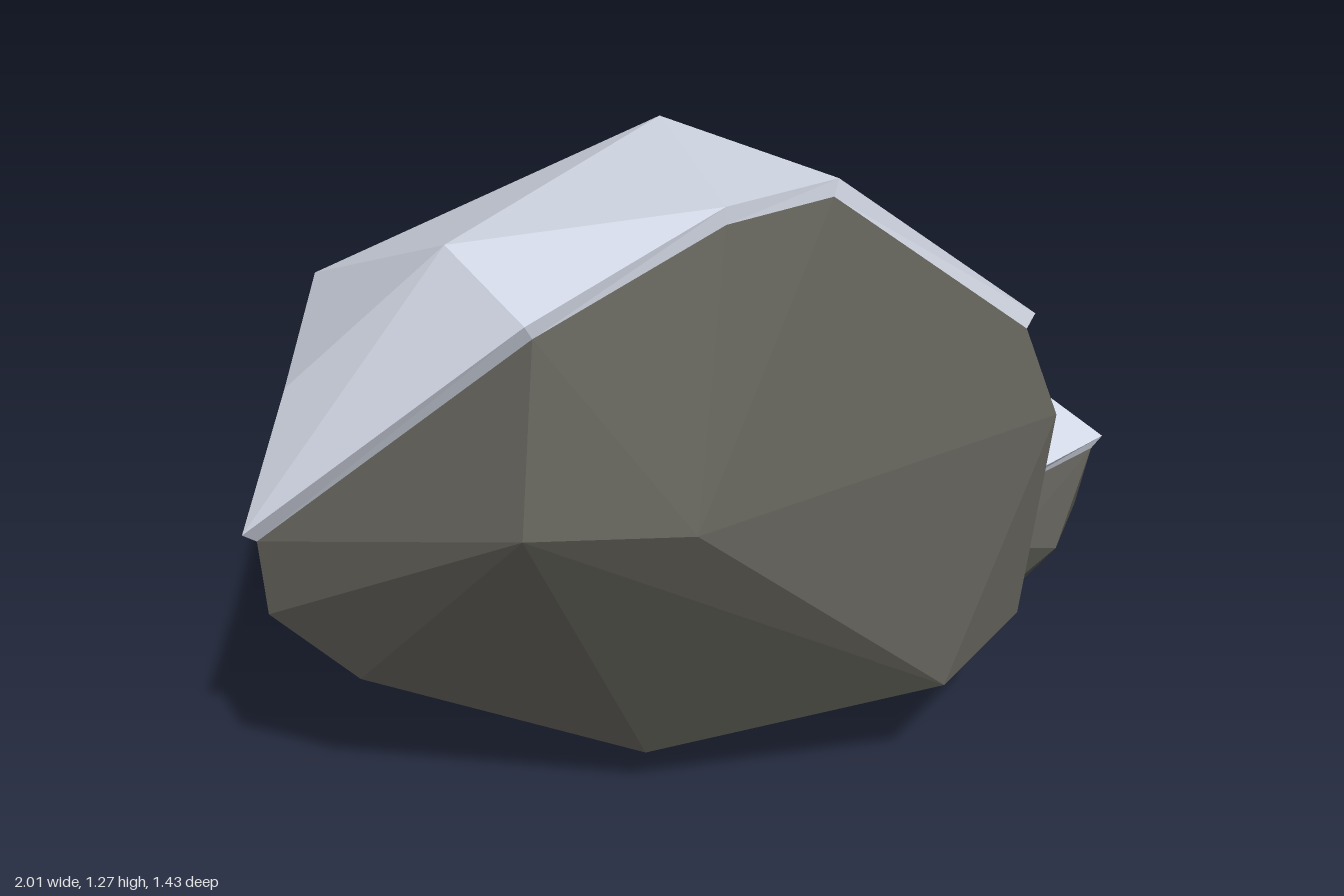
import * as THREE from 'three';
import { ConvexGeometry } from 'three/addons/geometries/ConvexGeometry.js';

const rockMat = new THREE.MeshStandardMaterial({ color: 0x5e5d56, flatShading: true });
rockMat.name = 'dark stone';
const snowMat = new THREE.MeshStandardMaterial({ color: 0xd2d8e5, flatShading: true });
snowMat.name = 'snow';

const LIFT = 0.038; // snow thickness
const STEEP = 0.57; // faces flatter than this carry snow

// Shell over every upward face: lifted tops plus a wall along each open edge
function snowCap(hull) {
  const pos = hull.getAttribute('position');
  const key = (v) => v.toArray().map((n) => n.toFixed(4)).join();
  const tris = [];
  const normals = new Map();
  const edges = new Set();
  for (let i = 0; i < pos.count; i += 3) {
    const t = [0, 1, 2].map((k) => new THREE.Vector3().fromBufferAttribute(pos, i + k));
    const n = new THREE.Triangle(...t).getNormal(new THREE.Vector3());
    if (n.y < STEEP) continue;
    tris.push(t);
    t.forEach((v, k) => {
      if (!normals.has(key(v))) normals.set(key(v), new THREE.Vector3());
      normals.get(key(v)).add(n);
      edges.add(key(v) + '|' + key(t[(k + 1) % 3]));
    });
  }
  const lift = (v) => v.clone().addScaledVector(normals.get(key(v)).clone().normalize(), LIFT);
  const out = [];
  for (const t of tris) {
    out.push(...t.map(lift));
    t.forEach((a, k) => {
      const b = t[(k + 1) % 3];
      if (edges.has(key(b) + '|' + key(a))) return;
      out.push(a, b, lift(b), a, lift(b), lift(a));
    });
  }
  const geo = new THREE.BufferGeometry().setFromPoints(out);
  geo.computeVertexNormals();
  return geo;
}

function snowyRock(name, points) {
  const group = new THREE.Group();
  group.name = name;
  const hull = new ConvexGeometry(points.map((p) => new THREE.Vector3(...p)));
  const stone = new THREE.Mesh(hull, rockMat);
  stone.name = name + 'Stone';
  const snow = new THREE.Mesh(snowCap(hull), snowMat);
  snow.name = name + 'Snow';
  group.add(stone, snow);
  return group;
}

export function createModel() {
  const model = new THREE.Group();
  model.name = 'snowyRocks';

  model.add(snowyRock('boulder', [
    // crown
    [-0.56, 1.195, 0.26], [-0.48, 1.13, 0.53], [-0.04, 1.235, 0.345], [0.22, 1.23, 0.25],
    [0.03, 1.2, -0.32], [0.3, 0.89, -0.44], [0.69, 0.86, 0.2], [-0.7, 0.89, -0.43],
    [-0.85, 0.87, 0.09], [-0.98, 0.66, 0.27],
    // waist
    [-0.55, 0.8, 0.69], [-0.22, 0.77, 0.715], [0.72, 0.7, 0.305], [0.79, 0.575, 0.15],
    [0.7, 0.5, -0.08], [0.45, 0.65, -0.42], [-0.1, 0.54, -0.54], [-0.74, 0.67, -0.41],
    [-0.97, 0.5, 0.28],
    // underside
    [0.36, 0.26, 0.585], [0.6, 0.3, 0.42], [-0.8, 0.33, 0.3], [-0.75, 0.33, -0.29],
    [-0.43, 0.14, 0.25], [-0.23, 0.1, 0.4], [0.28, 0.06, 0.22], [0.15, 0, -0.12],
    [-0.15, 0.1, -0.27], [0.45, 0.2, -0.2],
  ]));

  model.add(snowyRock('sideRock', [
    // crown
    [0.975, 0.44, 0], [0.975, 0.28, -0.37], [0.79, 0.6, -0.1], [0.8, 0.52, -0.28],
    [0.67, 0.4, 0.1], [0.6, 0.5, -0.1],
    // sides and base
    [0.71, 0.29, 0.135], [0.85, 0.25, 0.1], [0.98, 0.26, -0.07], [0.94, 0.16, -0.12],
    [0.82, 0.03, -0.08], [0.7, 0.12, 0.08], [0.62, 0.03, -0.1], [0.88, 0.12, -0.28],
    [0.48, 0.15, 0.02], [0.6, 0.2, -0.35], [0.55, 0.05, -0.25],
  ]));

  model.add(snowyRock('backRock', [
    // crown
    [0.58, 0.705, -0.23], [0.77, 0.63, -0.26], [0.91, 0.5, -0.48], [0.52, 0.48, -0.69],
    [0.4, 0.61, -0.59], [0.66, 0.57, -0.13],
    // sides and base
    [0.95, 0.28, -0.55], [0.86, 0.42, -0.38], [0.34, 0.37, -0.67], [0.59, 0.28, -0.71],
    [0.5, 0.43, -0.71], [0.78, 0.1, -0.62], [0.75, 0.05, -0.44], [0.62, 0.02, -0.46],
    [0.45, 0.02, -0.4], [0.3, 0.04, -0.26], [0.27, 0.05, -0.36], [0.2, 0.12, -0.17],
    [0.8, 0.15, -0.3], [0.28, 0.25, -0.5],
  ]));

  return model;
}
